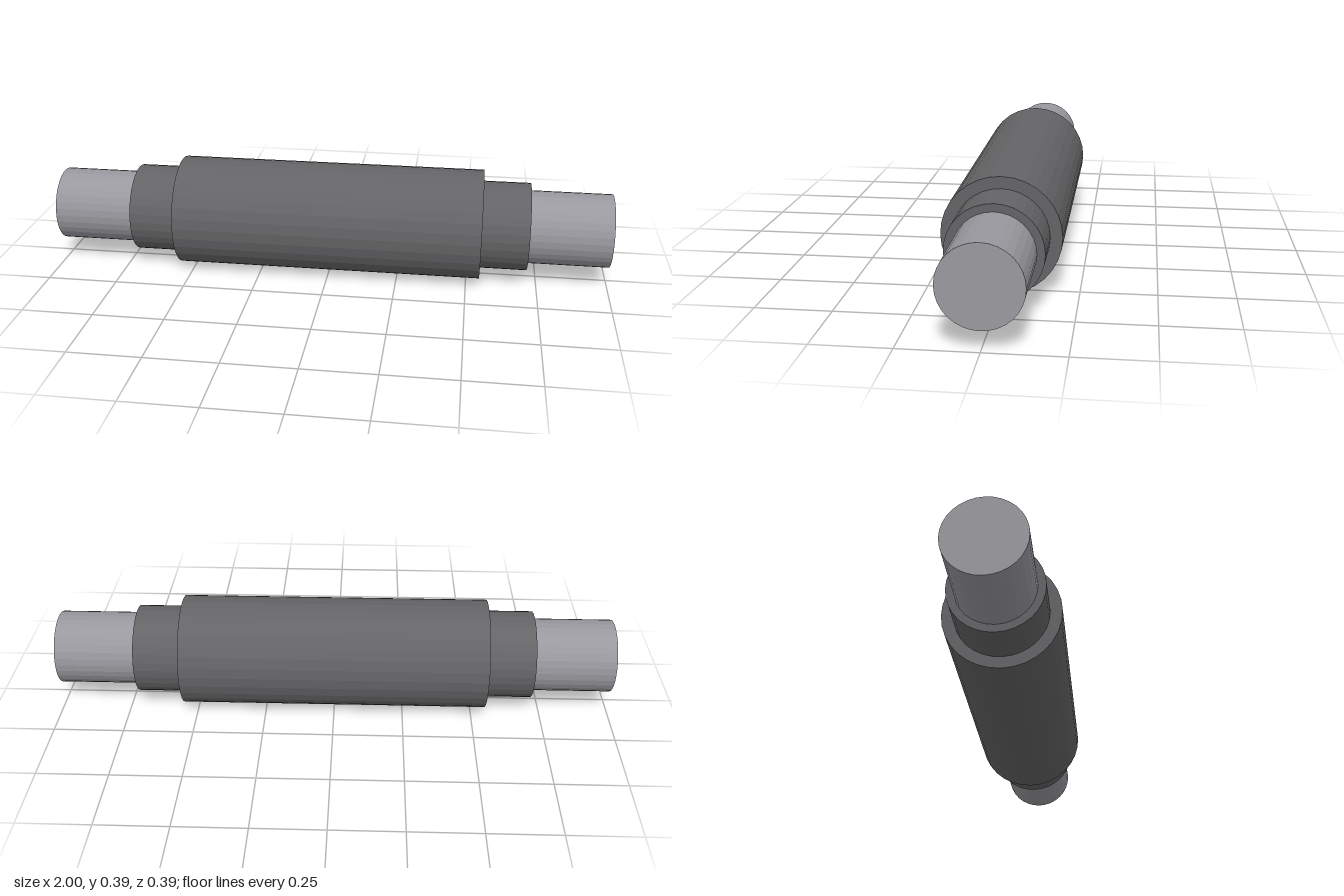
import * as THREE from 'three';

export function createModel() {
  const group = new THREE.Group();
  const steel = new THREE.MeshStandardMaterial({ color: 0x99989e, flatShading: true });
  steel.name = 'light steel';
  const darkGrey = new THREE.MeshStandardMaterial({ color: 0x646466, flatShading: true });
  darkGrey.name = 'dark grey';

  const axisHeight = 0.196;

  // Solid cylinder lying along x, centred on the shared axis
  function addCylinder(name, radius, length, material) {
    const geometry = new THREE.CylinderGeometry(radius, radius, length, 32);
    geometry.rotateZ(Math.PI / 2);
    const mesh = new THREE.Mesh(geometry, material);
    mesh.name = name;
    mesh.position.y = axisHeight;
    group.add(mesh);
  }

  // Inner shaft, its ends showing on both sides
  addCylinder('shaft', 0.1305, 2, steel);
  // Stepped collar around the shaft
  addCylinder('collar', 0.1565, 1.426, darkGrey);
  // Thick central sleeve
  addCylinder('sleeve', 0.196, 1.094, darkGrey);

  return group;
}
